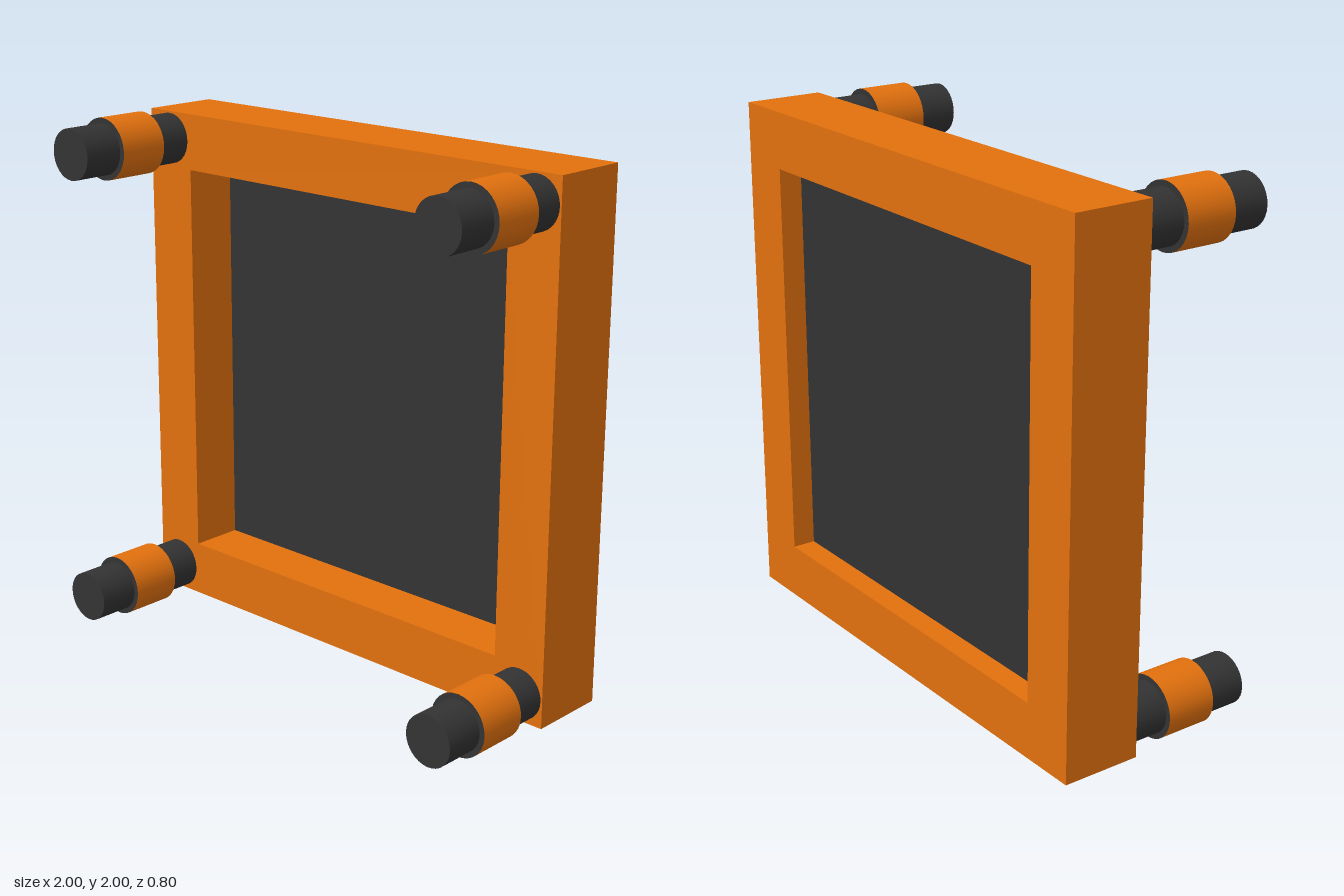
import * as THREE from 'three';

export function createModel() {
  const orange = new THREE.MeshStandardMaterial({ color: 0xe3710e });
  orange.name = 'orange';
  const charcoal = new THREE.MeshStandardMaterial({ color: 0x333333 });
  charcoal.name = 'charcoal';

  const model = new THREE.Group();
  model.name = 'framedPanel';
  const add = (name, geometry, material, x, y, z) => {
    const mesh = new THREE.Mesh(geometry, material);
    mesh.name = name;
    mesh.position.set(x, y, z);
    model.add(mesh);
  };

  const square = (path, h) =>
    path.moveTo(-h, -h).lineTo(h, -h).lineTo(h, h).lineTo(-h, h).closePath();

  // Square frame with an open centre
  const back = -0.4, front = -0.095;
  const outline = square(new THREE.Shape(), 0.986);
  outline.holes.push(square(new THREE.Path(), 0.771));
  const frame = new THREE.ExtrudeGeometry(outline, { depth: front - back, bevelEnabled: false });
  add('frame', frame, orange, 0, 1, back);

  // Thin panel set nearer the back of the frame
  add('panel', new THREE.BoxGeometry(1.542, 1.542, 0.006), charcoal, 0, 1, -0.307);

  // Corner pegs, each with a collar that is orange on its side only
  const rod = (radius, z0, z1) =>
    new THREE.CylinderGeometry(radius, radius, z1 - z0, 32).rotateX(Math.PI / 2).translate(0, 0, (z0 + z1) / 2);
  const peg = rod(0.097, front, 0.4);
  const collar = rod(0.118, 0.043, 0.243);
  for (const sx of [-1, 1]) {
    for (const sy of [-1, 1]) {
      const x = sx * 0.882, y = 1 + sy * 0.882;
      const place = (sy > 0 ? 'Upper' : 'Lower') + (sx > 0 ? 'Left' : 'Right');
      add('peg' + place, peg, charcoal, x, y, 0);
      add('collar' + place, collar, [orange, charcoal, charcoal], x, y, 0);
    }
  }
  return model;
}
